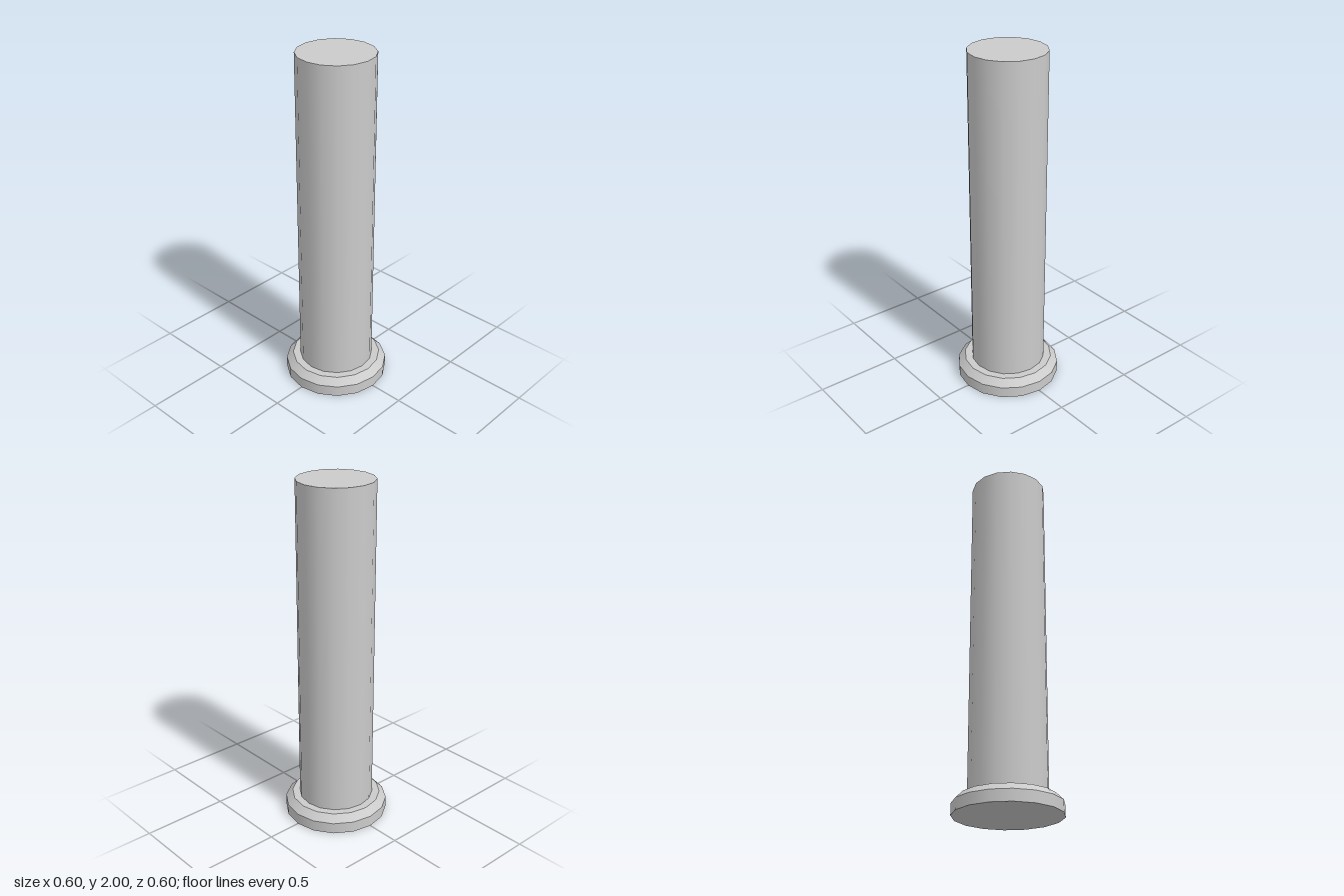
import * as THREE from 'three';

const SIDES = 16;
const SHAFT_R = 0.216, LIP_R = 0.26, BASE_R = 0.3;
const BASE_H = 0.065, LIP_Y = 0.105, TOP_Y = 2;

export function createModel() {
  const model = new THREE.Group();
  const material = new THREE.MeshStandardMaterial({ color: 0xcccccc });

  const add = (parent, name, geometry) => {
    const mesh = new THREE.Mesh(geometry, material);
    mesh.name = name;
    parent.add(mesh);
  };
  // Open side wall between two heights
  const wall = (rTop, rBottom, y0, y1) =>
    new THREE.CylinderGeometry(rTop, rBottom, y1 - y0, SIDES, 1, true).translate(0, (y0 + y1) / 2, 0);
  // Flat disc facing up (1) or down (-1)
  const disc = (r, y, facing) =>
    new THREE.CircleGeometry(r, SIDES).rotateX(-facing * Math.PI / 2).translate(0, y, 0);

  // Chamfered foot flange
  const flange = new THREE.Group();
  flange.name = 'flange';
  add(flange, 'flangeUnderside', disc(BASE_R, 0, -1));
  add(flange, 'flangeRim', wall(BASE_R, BASE_R, 0, BASE_H));
  add(flange, 'flangeChamfer', wall(LIP_R, BASE_R, BASE_H, LIP_Y));
  add(flange, 'flangeTop',
    new THREE.RingGeometry(SHAFT_R, LIP_R, SIDES).rotateX(-Math.PI / 2).translate(0, LIP_Y, 0));

  // Straight shaft with a flat end
  const shaft = new THREE.Group();
  shaft.name = 'shaft';
  add(shaft, 'shaftWall', wall(SHAFT_R, SHAFT_R, LIP_Y, TOP_Y));
  add(shaft, 'shaftEnd', disc(SHAFT_R, TOP_Y, 1));

  model.add(flange, shaft);
  return model;
}
